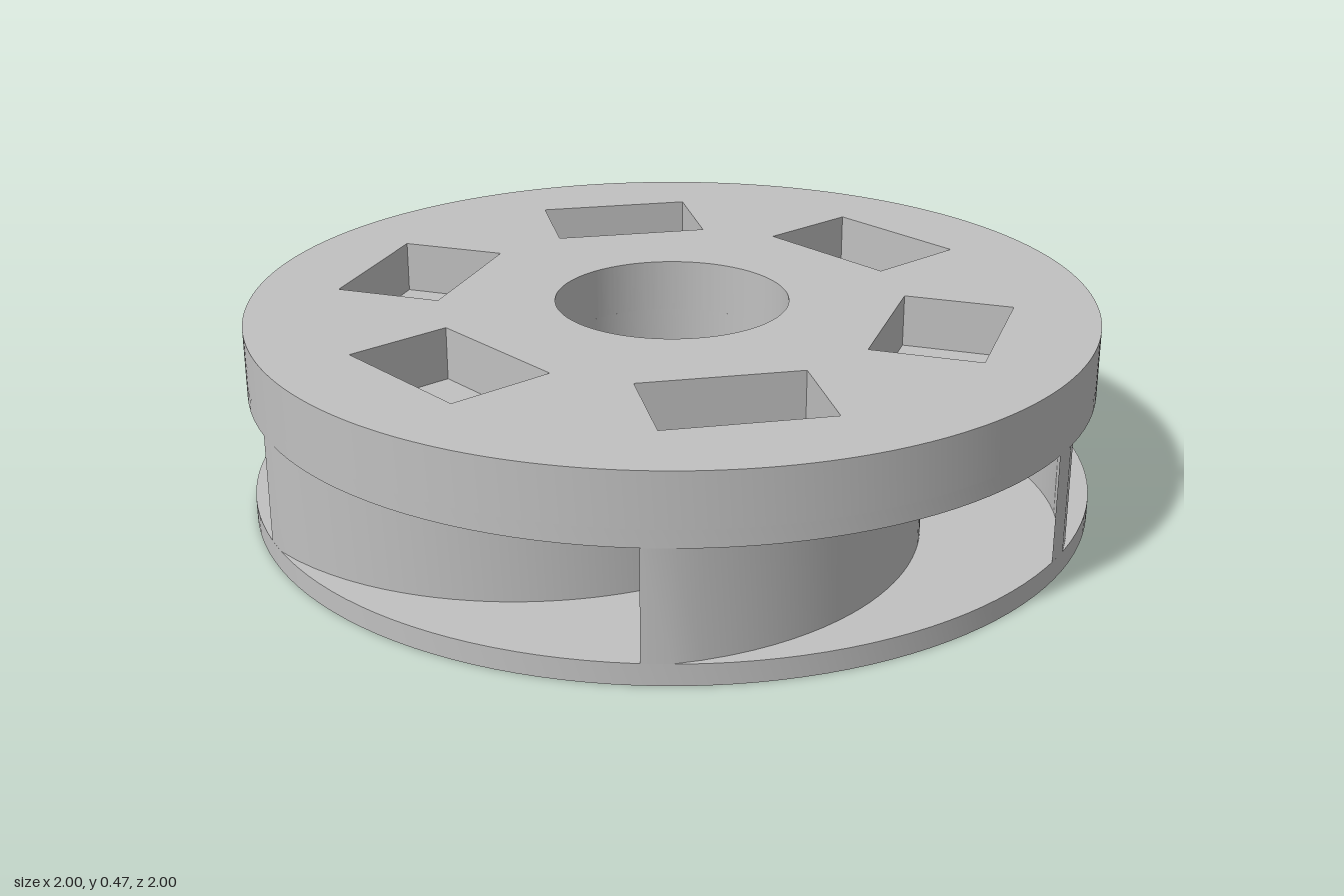
import * as THREE from 'three';
import { toCreasedNormals } from 'three/addons/utils/BufferGeometryUtils.js';

const RAD = Math.PI / 180;
const SEGMENTS = 128;

export function createModel() {
  const model = new THREE.Group();
  model.name = 'impeller';
  const metal = new THREE.MeshStandardMaterial({ color: 0xc0c0c0 });
  metal.name = 'plain grey';

  const add = (name, geometry, parent = model) => {
    const mesh = new THREE.Mesh(toCreasedNormals(geometry, 30 * RAD), metal);
    mesh.name = name;
    parent.add(mesh);
    return mesh;
  };
  // Solid of revolution from a closed counter-clockwise (radius, height) profile
  const lathe = (points) =>
    new THREE.LatheGeometry(points.map(([r, y]) => new THREE.Vector2(r, y)), SEGMENTS);
  // Plan shape raised from height y0 to y1
  const slab = (shape, y0, y1) =>
    new THREE.ExtrudeGeometry(shape, { depth: y1 - y0, bevelEnabled: false, curveSegments: SEGMENTS })
      .rotateX(-Math.PI / 2).translate(0, y0, 0);

  // Lower shroud ring around the inlet eye
  add('lowerShroud', lathe([[0.55, 0], [1, 0], [1, 0.05], [0.55, 0.05], [0.55, 0]]));

  // Back plate floor with tapered hub, shaft bore and counterbore
  add('hubAndPlateFloor', lathe([
    [0.13, 0.05], [0.178, 0.05], [0.342, 0.305], [1, 0.305], [1, 0.345],
    [0.277, 0.345], [0.277, 0.207], [0.13, 0.207], [0.13, 0.05],
  ]));

  // Upper plate with six rectangular pockets and the counterbore opening
  const plate = new THREE.Shape().absarc(0, 0, 1, 0, Math.PI * 2);
  plate.holes.push(new THREE.Path().absarc(0, 0, 0.277, 0, Math.PI * 2, true));
  for (let i = 0; i < 6; i++) {
    const corners = [[0.52, -0.19], [0.52, 0.19], [0.78, 0.19], [0.78, -0.19]].map(
      ([x, y]) => new THREE.Vector2(x, y).rotateAround(new THREE.Vector2(), i * 60 * RAD));
    plate.holes.push(new THREE.Path(corners));
  }
  add('pocketedPlate', slab(plate, 0.345, 0.47));

  // Swept vane: convex side follows a circular arc, concave side trails it by a few degrees
  const arcRadius = 0.715, centreDistance = 0.3345, inner = 0.556, steps = 32;
  const convex = [], concave = [];
  const planPoint = (r, a) => new THREE.Vector2(r * Math.sin(a), -r * Math.cos(a));
  for (let i = 0; i <= steps; i++) {
    const t = i / steps;
    const r = THREE.MathUtils.lerp(inner, 1, t);
    const cosine = (r * r + centreDistance ** 2 - arcRadius ** 2) / (2 * r * centreDistance);
    const angle = Math.acos(cosine) - 22.5 * RAD;
    convex.push(planPoint(r, angle));
    concave.unshift(planPoint(r, angle - THREE.MathUtils.lerp(5.5, 3.6, t) * RAD));
  }
  const vaneGeometry = slab(new THREE.Shape([...convex, ...concave]), 0.05, 0.305);

  const vanes = new THREE.Group();
  vanes.name = 'vanes';
  model.add(vanes);
  for (let i = 0; i < 6; i++) {
    add('vane', vaneGeometry, vanes).rotation.y = (14.7 + i * 60) * RAD;
  }
  return model;
}
